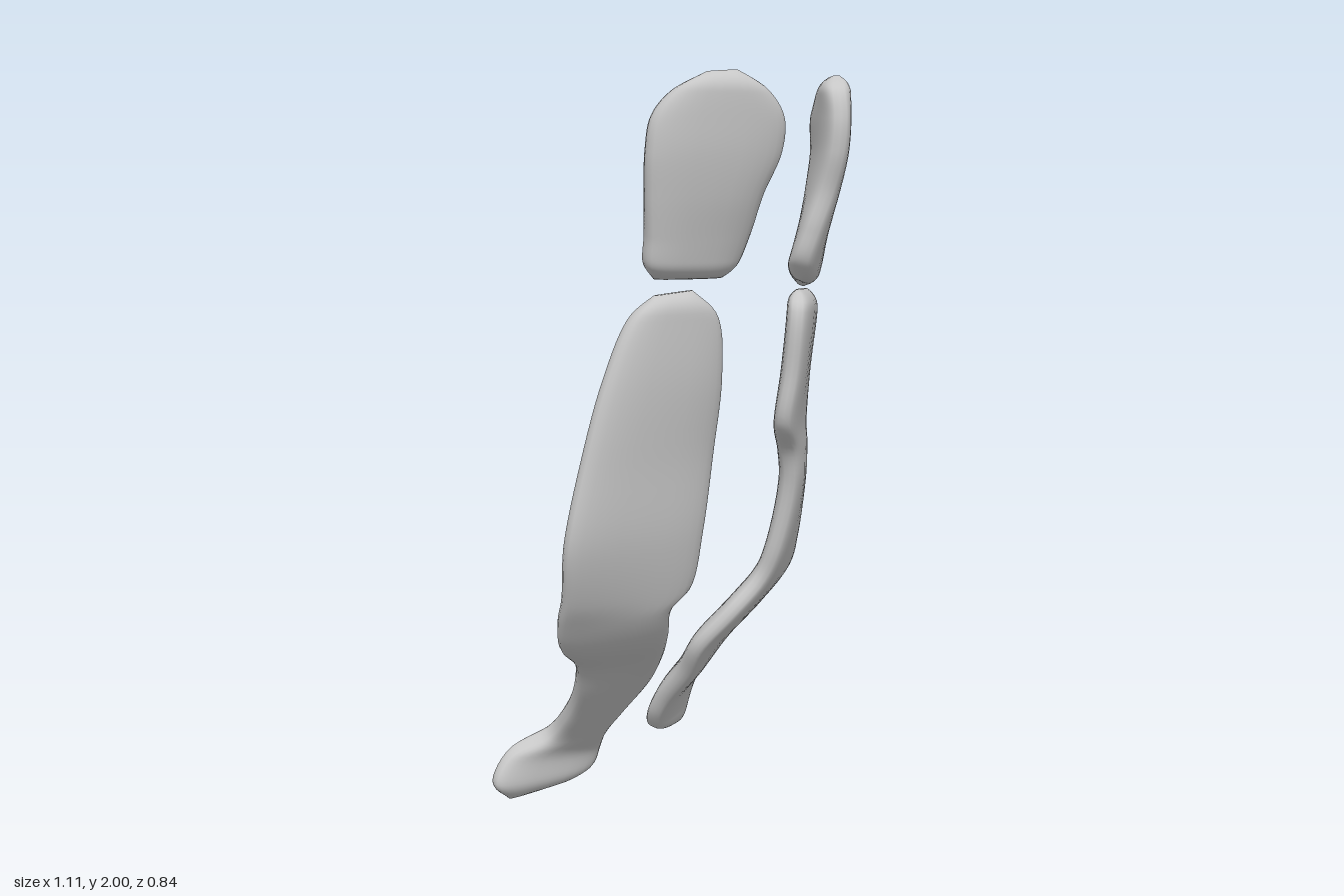
import * as THREE from 'three';

const STEPS = 80;   // cross-sections along each slab
const SIDES = 28;   // points around each cross-section

// Loft a rounded, flattened slab between an inner and an outer edge, from top to bottom.
// Each row holds: inner x, y, z, outer x, y, z.
function slabGeometry(rows, thickness) {
  const edge = (o) => new THREE.CatmullRomCurve3(
    rows.map((r) => new THREE.Vector3(r[o], r[o + 1], r[o + 2])), false, 'centripetal');
  const inner = edge(0), outer = edge(3);
  const a = [], b = [], mid = [], dist = [0];
  for (let i = 0; i <= STEPS; i++) {
    a.push(inner.getPoint(i / STEPS));
    b.push(outer.getPoint(i / STEPS));
    mid.push(a[i].clone().add(b[i]).multiplyScalar(0.5));
    if (i) dist.push(dist[i - 1] + mid[i].distanceTo(mid[i - 1]));
  }
  const total = dist[STEPS];
  const pos = [], index = [];
  const bend = (v, e) => Math.sign(v) * Math.abs(v) ** e;
  for (let i = 0; i <= STEPS; i++) {
    const half = b[i].clone().sub(a[i]).multiplyScalar(0.5);
    // Direction of travel, averaged over neighbours so the surface stays calm
    const along = mid[Math.min(i + 6, STEPS)].clone().sub(mid[Math.max(i - 6, 0)]);
    const normal = along.cross(half).normalize();
    // Thickness rounds off at both ends
    const d = Math.min(1, Math.min(dist[i], total - dist[i]) / 0.05);
    const t = thickness * 0.5 * Math.max(0.25, Math.sqrt(1 - (1 - d) ** 2));
    for (let j = 0; j < SIDES; j++) {
      const ang = (j / SIDES) * Math.PI * 2;
      const p = mid[i].clone()
        .addScaledVector(half, bend(Math.cos(ang), 0.75))
        .addScaledVector(normal, t * bend(Math.sin(ang), 0.65));
      pos.push(p.x, p.y, p.z);
    }
  }
  for (let i = 0; i < STEPS; i++) {
    for (let j = 0; j < SIDES; j++) {
      const k = (j + 1) % SIDES;
      const p = i * SIDES + j, q = i * SIDES + k;
      index.push(p, q, p + SIDES, q, q + SIDES, p + SIDES);
    }
  }
  // End caps
  const top = pos.length / 3, base = STEPS * SIDES;
  pos.push(...mid[0].toArray(), ...mid[STEPS].toArray());
  for (let j = 0; j < SIDES; j++) {
    const k = (j + 1) % SIDES;
    index.push(top, k, j, top + 1, base + j, base + k);
  }
  const g = new THREE.BufferGeometry();
  g.setAttribute('position', new THREE.Float32BufferAttribute(pos, 3));
  g.setIndex(index);
  g.computeVertexNormals();
  return g;
}

const rightPad = [
  [-0.23, 1.99, 0.33, -0.29, 1.985, 0.28],
  [-0.17, 1.94, 0.38, -0.36, 1.94, 0.23],
  [-0.135, 1.88, 0.4, -0.4, 1.88, 0.2],
  [-0.13, 1.8, 0.39, -0.41, 1.8, 0.19],
  [-0.15, 1.7, 0.35, -0.4, 1.7, 0.18],
  [-0.15, 1.6, 0.31, -0.385, 1.6, 0.17],
  [-0.16, 1.53, 0.28, -0.375, 1.53, 0.16],
  [-0.19, 1.495, 0.26, -0.34, 1.495, 0.16],
];

const leftPad = [
  [0.27, 2.0, 0.31, 0.33, 1.995, 0.25],
  [0.21, 1.96, 0.35, 0.39, 1.95, 0.21],
  [0.19, 1.89, 0.37, 0.435, 1.89, 0.16],
  [0.185, 1.8, 0.365, 0.44, 1.8, 0.16],
  [0.185, 1.7, 0.335, 0.425, 1.7, 0.16],
  [0.165, 1.6, 0.305, 0.42, 1.58, 0.15],
  [0.16, 1.52, 0.275, 0.415, 1.48, 0.14],
  [0.2, 1.465, 0.24, 0.38, 1.435, 0.14],
];

const rightStrip = [
  [-0.26, 1.465, 0.22, -0.35, 1.455, 0.17],
  [-0.2, 1.4, 0.25, -0.41, 1.4, 0.14],
  [-0.18, 1.25, 0.25, -0.475, 1.25, 0.11],
  [-0.175, 1.05, 0.22, -0.525, 1.05, 0.08],
  [-0.19, 0.85, 0.2, -0.555, 0.85, 0.05],
  [-0.2, 0.7, 0.17, -0.52, 0.7, 0.01],
  [-0.24, 0.65, 0.14, -0.49, 0.63, -0.03],
  [-0.2, 0.57, 0.1, -0.44, 0.55, -0.07],
  [-0.13, 0.48, 0.03, -0.33, 0.47, -0.11],
  [-0.07, 0.38, -0.06, -0.27, 0.37, -0.16],
  [-0.06, 0.27, -0.16, -0.22, 0.27, -0.24],
  [-0.05, 0.19, -0.23, -0.205, 0.19, -0.32],
  [-0.02, 0.12, -0.28, -0.29, 0.14, -0.39],
  [-0.03, 0.06, -0.3, -0.33, 0.06, -0.41],
  [-0.1, 0.02, -0.33, -0.28, 0.005, -0.4],
];

const leftStrip = [
  [0.2, 1.44, 0.24, 0.37, 1.43, 0.16],
  [0.15, 1.39, 0.27, 0.43, 1.37, 0.13],
  [0.14, 1.22, 0.26, 0.46, 1.2, 0.09],
  [0.14, 1.08, 0.235, 0.475, 1.05, 0.075],
  [0.22, 0.99, 0.2, 0.485, 0.97, 0.07],
  [0.25, 0.9, 0.19, 0.49, 0.88, 0.06],
  [0.25, 0.7, 0.14, 0.53, 0.7, 0.02],
  [0.24, 0.61, 0.1, 0.55, 0.61, -0.01],
  [0.17, 0.51, 0.04, 0.51, 0.51, -0.07],
  [0.13, 0.41, -0.04, 0.45, 0.41, -0.14],
  [0.16, 0.31, -0.11, 0.42, 0.3, -0.22],
  [0.18, 0.21, -0.2, 0.455, 0.24, -0.28],
  [0.2, 0.14, -0.25, 0.465, 0.15, -0.32],
  [0.24, 0.09, -0.28, 0.44, 0.07, -0.33],
  [0.3, 0.075, -0.3, 0.41, 0.05, -0.325],
];

export function createModel() {
  const group = new THREE.Group();
  const grey = new THREE.MeshStandardMaterial({ color: 0xc6c6c6 });
  grey.name = 'light grey';
  const add = (name, rows, thickness) => {
    const mesh = new THREE.Mesh(slabGeometry(rows, thickness), grey);
    mesh.name = name;
    group.add(mesh);
  };
  // Short upper pads
  add('rightUpperPad', rightPad, 0.085);
  add('leftUpperPad', leftPad, 0.085);
  // Long curved lower strips with small feet
  add('rightLowerStrip', rightStrip, 0.075);
  add('leftLowerStrip', leftStrip, 0.075);
  return group;
}
